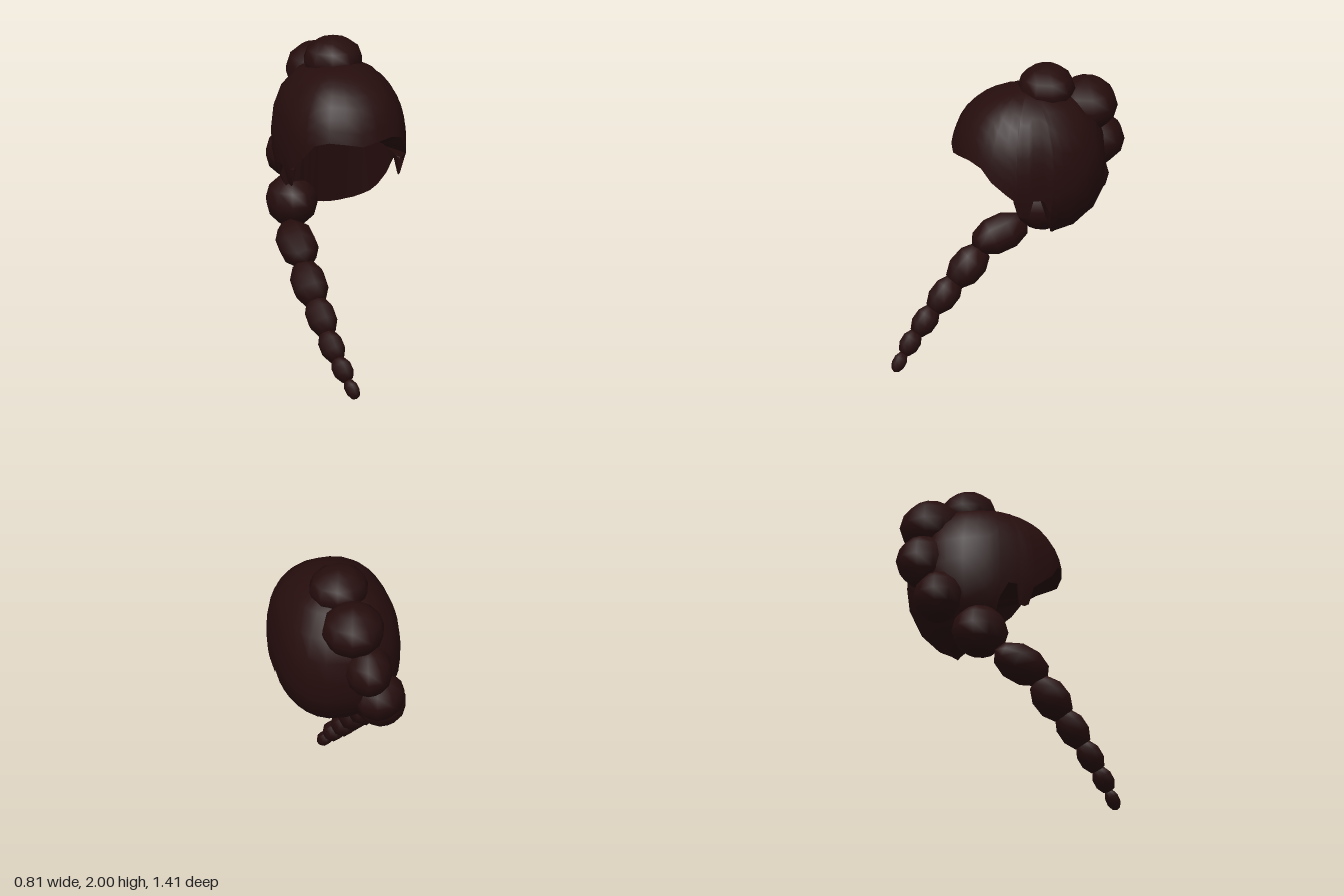
import * as THREE from 'three';
import { mergeVertices } from 'three/addons/utils/BufferGeometryUtils.js';

const CENTRE = new THREE.Vector3(0.017, 1.4, -0.1);
const UP = new THREE.Vector3(0, 1, 0);

// Hairline of one half, front to nape: x from the middle, y, z
const HALF_RIM = [
  [0, 1.48, 0.37], [0.1, 1.5, 0.355], [0.2, 1.51, 0.32], [0.27, 1.48, 0.255],
  [0.31, 1.4, 0.2], [0.34, 1.33, 0.12], [0.36, 1.28, 0.07],
  [0.345, 1.17, 0.05], [0.34, 1.155, 0.02], [0.34, 1.165, -0.02], [0.37, 1.28, -0.04],
  [0.37, 1.28, -0.1], [0.355, 1.18, -0.15], [0.335, 1.1, -0.16], [0.28, 1.03, -0.17],
  [0.23, 0.995, -0.18], [0.18, 0.98, -0.2], [0.13, 0.97, -0.21], [0.09, 0.965, -0.22],
  [0.05, 0.96, -0.22], [0, 0.955, -0.22],
];

// Point on the rounded skull shape in a given direction
function onSkull(dir) {
  const n = 2.35;
  const sum = (Math.abs(dir.x) / 0.385) ** n
    + (Math.abs(dir.y) / (dir.y > 0 ? 0.47 : 0.46)) ** n
    + (Math.abs(dir.z) / (dir.z > 0 ? 0.475 : 0.465)) ** n;
  return dir.clone().multiplyScalar(sum ** (-1 / n)).add(CENTRE);
}

function gridGeometry(columns) {
  const rows = columns[0].length;
  const index = [];
  columns.forEach((_, i) => {
    const a = i * rows, b = ((i + 1) % columns.length) * rows;
    for (let j = 0; j < rows - 1; j++) {
      if (j > 0) index.push(a + j, b + j + 1, b + j);
      index.push(a + j, a + j + 1, b + j + 1);
    }
  });
  const geometry = new THREE.BufferGeometry().setFromPoints(columns.flat());
  geometry.setIndex(index);
  return geometry;
}

export function createModel() {
  const group = new THREE.Group();
  const hair = new THREE.MeshStandardMaterial({ color: 0x260d0d, side: THREE.DoubleSide });
  hair.name = 'dark brown hair';
  const add = (name, geometry) => {
    const mesh = new THREE.Mesh(geometry, hair);
    mesh.name = name;
    group.add(mesh);
    return mesh;
  };

  // Closed hairline: left half, then the mirrored right half
  const last = HALF_RIM.length - 1;
  const rim = HALF_RIM.map((p, i) => ({ p, i }));
  for (let i = last - 1; i > 0; i--) {
    const [x, y, z] = HALF_RIM[i];
    rim.push({ p: [-x, y, z], i });
  }

  // Outer cap: each column runs from the crown down to the hairline
  const rows = 9;
  const columns = rim.map(({ p }) => {
    const end = new THREE.Vector3(p[0], p[1] - CENTRE.y, p[2] - CENTRE.z).normalize();
    const angle = UP.angleTo(end);
    const side = end.clone().addScaledVector(UP, -end.y).normalize();
    return Array.from({ length: rows + 1 }, (_, j) => {
      const t = angle * j / rows;
      return onSkull(UP.clone().multiplyScalar(Math.cos(t)).addScaledVector(side, Math.sin(t)));
    });
  });
  const cap = mergeVertices(gridGeometry(columns));
  cap.computeVertexNormals();
  add('hairCap', cap);

  // Inside: a ceiling behind the fringe and a wall above the nape meet at a crease
  const lining = rim.map(({ p, i }, k) => {
    const x = p[0] * 0.93;
    const y = 1.42 - 0.13 * (p[0] / 0.34) ** 2;
    const z = i >= 6 && i <= 11 ? p[2] : -0.13;
    return [columns[k][rows], new THREE.Vector3(CENTRE.x + x, y, z)];
  });
  const index = [];
  lining.forEach((_, i) => {
    const a = i * 2, b = ((i + 1) % lining.length) * 2;
    index.push(a, a + 1, b + 1, a, b + 1, b);
  });
  let inner = new THREE.BufferGeometry().setFromPoints(lining.flat());
  inner.setIndex(index);
  inner = inner.toNonIndexed();
  inner.computeVertexNormals();
  add('capLining', inner);

  // Braid down the back of the head: centre, then radii
  const ball = new THREE.SphereGeometry(1, 10, 6);
  [
    [0.017, 1.86, -0.205, 0.185, 0.14, 0.175],
    [0, 1.72, -0.455, 0.195, 0.17, 0.19],
    [-0.07, 1.455, -0.53, 0.15, 0.165, 0.175],
    [-0.155, 1.2, -0.47, 0.165, 0.155, 0.155],
    [-0.235, 0.98, -0.235, 0.16, 0.16, 0.175],
  ].forEach(([x, y, z, rx, ry, rz], i) => {
    const knot = add(`braidKnot${i + 1}`, ball);
    knot.position.set(x, y, z);
    knot.scale.set(rx, ry, rz);
  });

  // Hanging braid: centre, width and half length, each turned along the strand
  const strand = new THREE.SphereGeometry(1, 8, 5);
  const links = [
    [-0.285, 0.785, 0.015, 0.125, 0.185],
    [-0.275, 0.595, 0.215, 0.115, 0.155],
    [-0.25, 0.43, 0.365, 0.096, 0.135],
    [-0.225, 0.28, 0.49, 0.08, 0.11],
    [-0.19, 0.16, 0.59, 0.066, 0.088],
    [-0.155, 0.055, 0.665, 0.045, 0.068],
  ];
  links.forEach(([x, y, z, width, half], i) => {
    const before = links[i - 1] || [-0.285, 0.75, -0.2];
    const after = links[i + 1] || [-0.135, 0, 0.7];
    const along = new THREE.Vector3(before[0] - after[0], before[1] - after[1], before[2] - after[2]);
    const link = add(`braidLink${i + 1}`, strand);
    link.position.set(x, y, z);
    link.quaternion.setFromUnitVectors(UP, along.normalize());
    link.scale.set(width, half, width);
  });

  return group;
}
